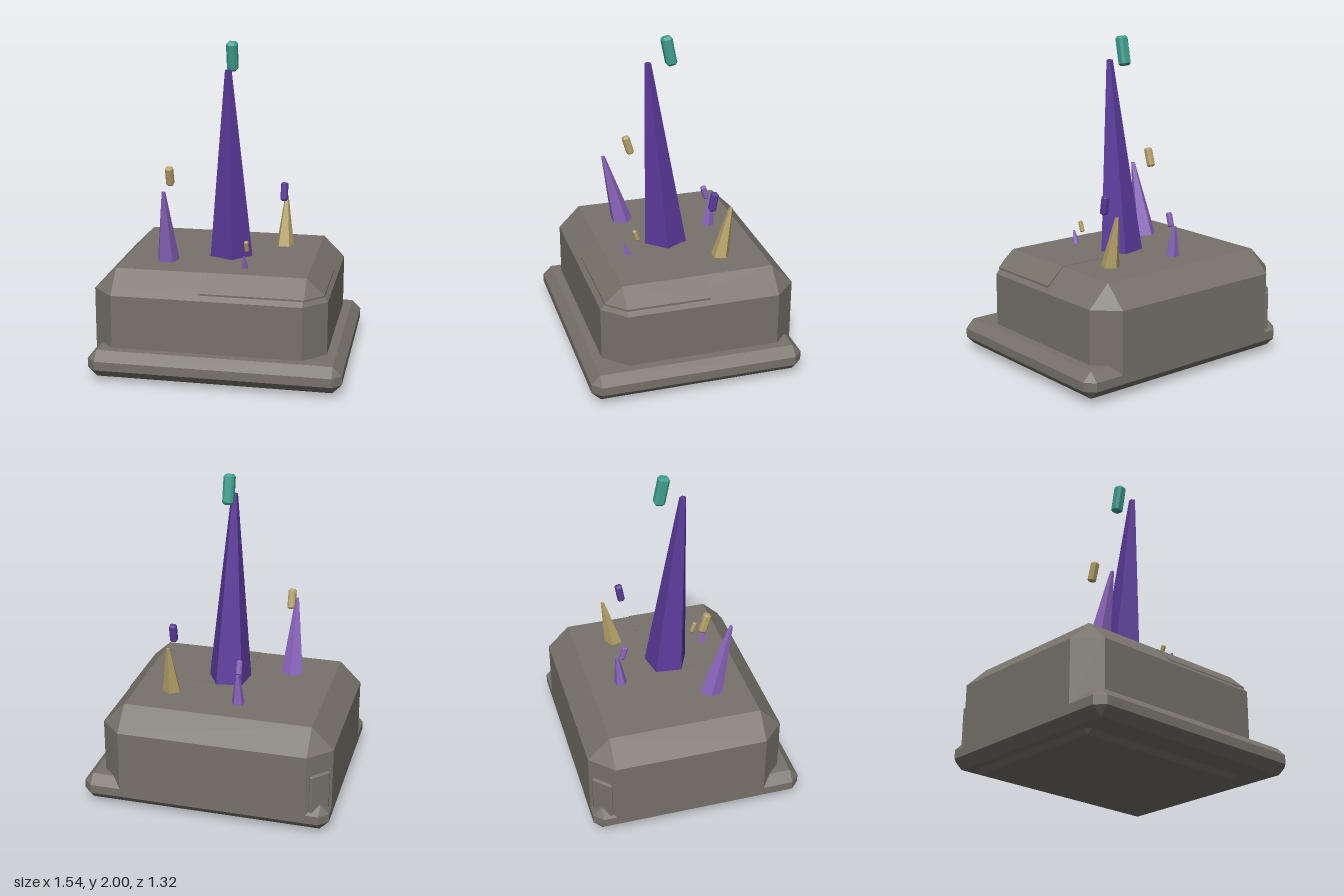
import * as THREE from 'three';
import { ConvexGeometry } from 'three/addons/geometries/ConvexGeometry.js';

const STONE = 0x77726a, PURPLE = 0x5b3a9b, LILAC = 0x8a64bd, GOLD = 0xb8a46a, TEAL = 0x3fa090;
const mats = {};
const mat = (color) => (mats[color] ??= new THREE.MeshStandardMaterial({ color, flatShading: true }));

function add(group, name, geometry, color) {
  const mesh = new THREE.Mesh(geometry, mat(color));
  mesh.name = name;
  group.add(mesh);
  return mesh;
}

// Box with every edge and corner cut by c
function chamferBox(min, max, c) {
  const points = [];
  for (let i = 0; i < 8; i++) {
    for (let out = 0; out < 3; out++) {
      const p = [0, 1, 2].map((k) => {
        const inset = k === out ? 0 : c;
        return (i >> k) & 1 ? max[k] - inset : min[k] + inset;
      });
      points.push(new THREE.Vector3(...p));
    }
  }
  return new ConvexGeometry(points);
}

// Five-sided spike, level at base and tip, sheared towards its tip
function spike([bx, bz, br], [tx, ty, tz, tr], turn) {
  const y0 = 0.64, h = ty - y0;
  const geo = new THREE.CylinderGeometry(tr, br, h, 5, 1, false, turn * Math.PI / 180);
  geo.translate(0, h / 2, 0);
  const shear = new THREE.Matrix4().set(
    1, (tx - bx) / h, 0, bx,
    0, 1, 0, y0,
    0, (tz - bz) / h, 1, bz,
    0, 0, 0, 1);
  return geo.applyMatrix4(shear);
}

export function createModel() {
  const model = new THREE.Group();
  model.name = 'crystalPedestal';

  // Stone base
  add(model, 'plinth', chamferBox([-0.77, 0.03, -0.66], [0.77, 0.195, 0.66], 0.055), STONE);
  add(model, 'block', chamferBox([-0.77, 0, -0.66], [0.66, 0.66, 0.55], 0.135), STONE);

  // Raised slab wrapping the bevelled front corner
  const slab = [];
  for (const [y, inner, outer] of [[0.662, 0, 0], [0.563, 0.108, 0.108], [0.55, 0.108, 0.108]]) {
    slab.push([-0.1, y, -0.1], [0.53 + outer, y, -0.1], [-0.1, y, 0.415 + inner],
      [0.53 + outer, y, 0.415], [0.53, y, 0.415 + inner]);
  }
  add(model, 'cornerSlab', new ConvexGeometry(slab.map((p) => new THREE.Vector3(...p))), STONE);

  // Small upright panel on the back corner cut
  const panel = add(model, 'cornerPanel', chamferBox([-0.07, 0.12, -0.02], [0.07, 0.4, 0.02], 0.01), STONE);
  panel.position.set(-0.7, 0, -0.59);
  panel.rotation.y = Math.PI / 4;

  // Spikes: base x, z, radius; tip x, y, z, radius; turn in degrees
  const spikes = [
    ['centreCrystal', PURPLE, [0, 0, 0.14], [0, 1.84, 0.105, 0.021], 155],
    ['rightCrystal', LILAC, [-0.365, 0.185, 0.075], [-0.36, 1.12, 0.305, 0.012], 180],
    ['backCrystal', LILAC, [-0.14, -0.33, 0.045], [-0.14, 0.85, -0.35, 0.012], 10],
    ['leftCrystal', GOLD, [0.3, -0.265, 0.061], [0.3, 0.97, -0.333, 0.012], 180],
    ['frontCrystal', LILAC, [0.135, 0.272, 0.028], [0.135, 0.74, 0.303, 0.007], 165],
  ];
  for (const [name, color, base, tip, turn] of spikes) add(model, name, spike(base, tip, turn), color);

  // Floating shards: x, width, bottom [y, z], top [y, z]
  const shards = [
    ['centreShard', TEAL, 0, 0.066, [1.816, -0.044], [1.994, -0.008]],
    ['rightShard', GOLD, -0.36, 0.046, [1.12, 0.122], [1.239, 0.157]],
    ['leftShard', PURPLE, 0.3, 0.044, [0.967, -0.209], [1.083, -0.229]],
    ['backShard', LILAC, -0.14, 0.034, [0.842, -0.32], [0.928, -0.297]],
    ['frontShard', GOLD, 0.135, 0.025, [0.748, 0.212], [0.816, 0.236]],
  ];
  for (const [name, color, x, w, [y0, z0], [y1, z1]] of shards) {
    const h = Math.hypot(y1 - y0, z1 - z0) / 2, r = w / 2;
    const shard = add(model, name, chamferBox([-r, -h, -r], [r, h, r], w * 0.22), color);
    shard.position.set(x, (y0 + y1) / 2, (z0 + z1) / 2);
    shard.rotation.x = Math.atan2(z1 - z0, y1 - y0);
  }
  return model;
}
